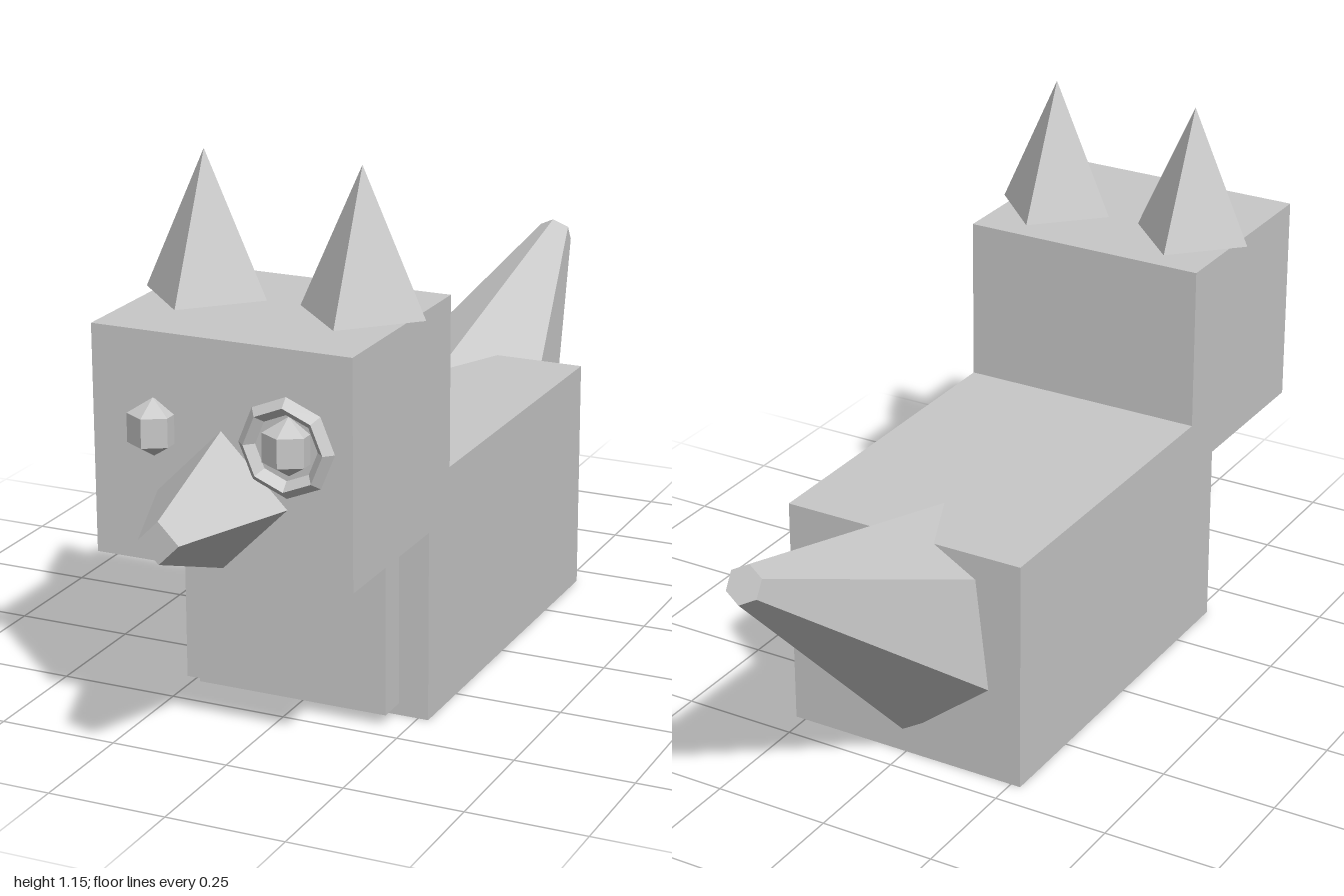
import * as THREE from 'three';

export function createModel() {
  const model = new THREE.Group();
  const grey = new THREE.MeshStandardMaterial({ color: 0xc8c8c8, flatShading: true });
  grey.name = 'plain grey';

  function add(name, geometry, x, y, z, rotX = 0, rotY = 0) {
    const mesh = new THREE.Mesh(geometry, grey);
    mesh.name = name;
    mesh.position.set(x, y, z);
    mesh.rotation.set(rotX, rotY, 0);
    model.add(mesh);
    return mesh;
  }

  // Box given by its half width and its y and z ranges
  function addBox(name, halfX, y0, y1, z0, z1) {
    const box = new THREE.BoxGeometry(halfX * 2, y1 - y0, z1 - z0);
    return add(name, box, 0, (y0 + y1) / 2, (z0 + z1) / 2);
  }

  // Blocky torso, chest plate and overhanging head
  addBox('body', 0.272, 0, 0.505, -0.44, 0.395);
  addBox('chest', 0.208, 0.025, 0.43, 0.35, 0.46);
  addBox('head', 0.272, 0.4, 0.86, 0.293, 0.748);

  // Mirrored ears and faceted eyes
  for (const [side, s] of [['left', 1], ['right', -1]]) {
    add(side + 'Ear', new THREE.ConeGeometry(0.132, 0.29, 4), s * 0.168, 1.005, 0.477);
    add(side + 'Eye', new THREE.SphereGeometry(0.058, 6, 3), s * 0.142, 0.672, 0.75, 0, Math.PI / 6);
  }

  // Eyeglass around the left eye
  add('monocle', new THREE.TorusGeometry(0.082, 0.0175, 4, 8), 0.142, 0.672, 0.76);

  // Four-sided snout with a blunt tip
  add('snout', new THREE.CylinderGeometry(0.042, 0.137, 0.252, 4), 0, 0.545, 0.874, Math.PI / 2);

  // Six-sided tail, thick at the root and rising backwards
  add('tail', new THREE.CylinderGeometry(0.0395, 0.246, 0.754, 6), 0, 0.4615, -0.655, -Math.PI / 3);

  return model;
}
